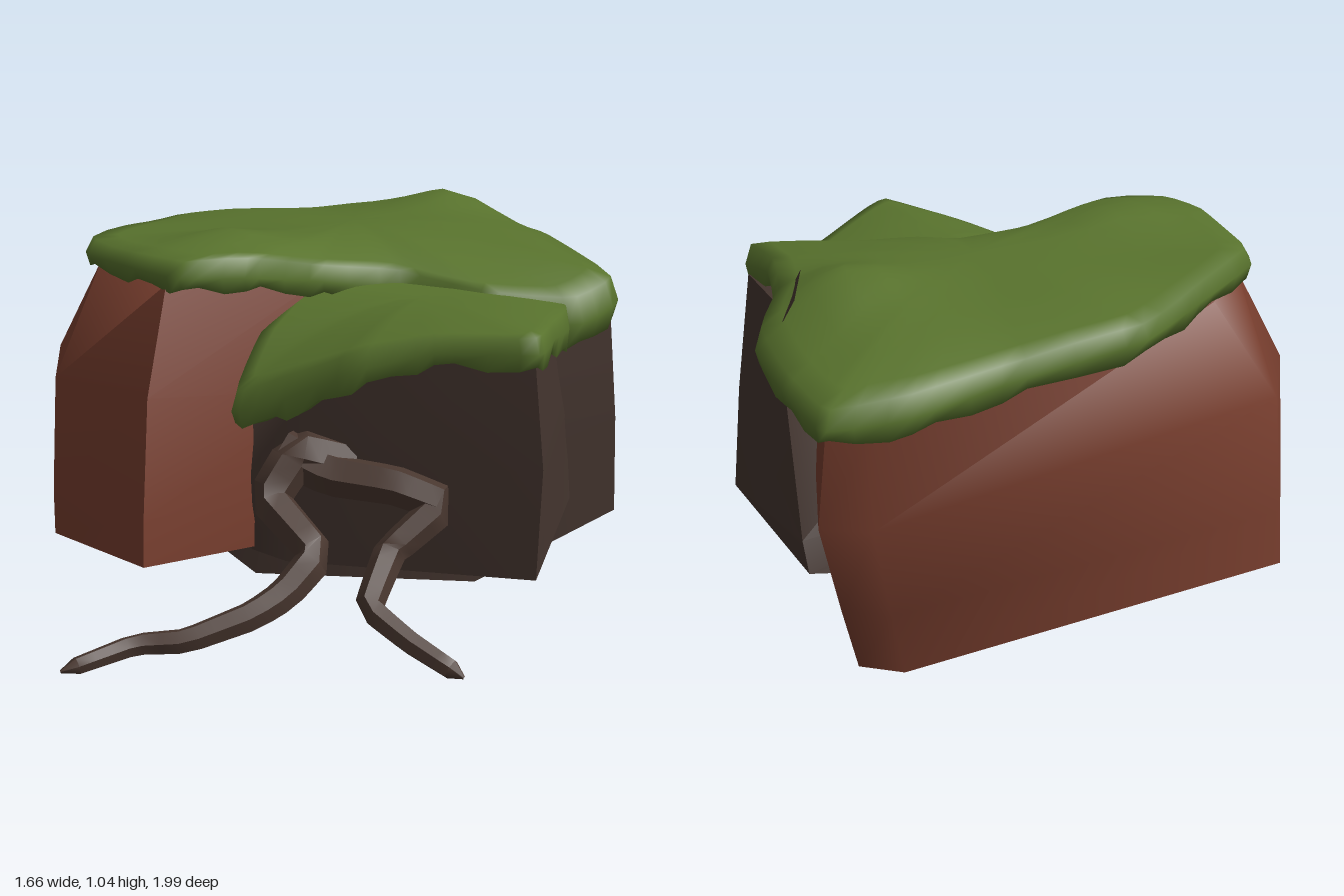
import * as THREE from 'three';
import { toCreasedNormals } from 'three/addons/utils/BufferGeometryUtils.js';

const material = (name, color) => new THREE.MeshStandardMaterial({ name, color });

// Skin a stack of equal-length rings (bottom to top) and close both ends
function loft(rings) {
  const n = rings[0].length, pos = [], idx = [];
  rings.forEach(r => r.forEach(p => pos.push(...p)));
  for (let i = 0; i < rings.length - 1; i++)
    for (let j = 0; j < n; j++) {
      const k = (j + 1) % n, a = i * n + j, b = i * n + k, c = a + n, d = b + n;
      idx.push(a, b, d, a, d, c);
    }
  [rings[0], rings[rings.length - 1]].forEach((r, end) => {
    const centre = pos.length / 3, base = end ? (rings.length - 1) * n : 0;
    for (let q = 0; q < 3; q++) pos.push(r.reduce((s, p) => s + p[q], 0) / n);
    for (let j = 0; j < n; j++) {
      const k = base + (j + 1) % n;
      if (end) idx.push(centre, base + j, k);
      else idx.push(centre, k, base + j);
    }
  });
  const geo = new THREE.BufferGeometry();
  geo.setAttribute('position', new THREE.Float32BufferAttribute(pos, 3));
  geo.setIndex(idx);
  geo.computeVertexNormals();
  return geo;
}

const rock = rings => toCreasedNormals(loft(rings), 1.2);

// Moss blanket: rim entries are [x, z, lip y, top y], clockwise from above;
// mounds are soft bumps [x, z, height]
function moss(rim, [cx, cy, cz], samples, mounds) {
  const loop = q => new THREE.CatmullRomCurve3(
    rim.slice().reverse().map(p => new THREE.Vector3(p[0], p[q], p[1])), true, 'catmullrom', 0.2);
  const low = loop(2), high = loop(3), top = [], lip = [];
  for (let i = 0; i < samples; i++) {
    top.push(high.getPoint(i / samples));
    lip.push(low.getPoint(i / samples));
  }
  const mix = (a, b, t) => a + (b - a) * t;
  const relief = (x, z) => mounds.reduce(
    (s, [mx, mz, h]) => s + h * Math.exp(-((x - mx) ** 2 + (z - mz) ** 2) / 0.025), 0);
  const under = (t, lift) => lip.map((p, i) =>
    [mix(cx, p.x, t), p.y + lift + 0.012 * Math.sin(i * 1.9), mix(cz, p.z, t)]);
  const over = t => top.map(p => {
    const x = mix(cx, p.x, t), z = mix(cz, p.z, t);
    const ripple = 0.01 * t * Math.sin(x * 9 + 1) * Math.cos(z * 8);
    return [x, mix(cy, p.y, t * t) + ripple + relief(x, z), z];
  });
  const belly = top.map((p, i) => [p.x, mix(lip[i].y, p.y, 0.5), p.z]);
  return loft([under(0.6, 0.04), under(0.93, 0.01), under(0.985, 0), belly,
    over(0.97), over(0.88), over(0.75), over(0.6), over(0.45), over(0.3), over(0.15)]);
}

// Root: a crooked tube that tapers towards its tip
function root(points, r0, r1) {
  const curve = new THREE.CatmullRomCurve3(
    points.map(p => new THREE.Vector3(...p)), false, 'catmullrom', 0.05);
  const segs = 28, sides = 6;
  const geo = new THREE.TubeGeometry(curve, segs, 1, sides);
  const pos = geo.attributes.position, v = new THREE.Vector3();
  for (let i = 0; i <= segs; i++) {
    const c = curve.getPointAt(i / segs);
    const r = i === segs ? 0.004 : r0 + (r1 - r0) * (i / segs);
    for (let j = 0; j <= sides; j++) {
      const k = i * (sides + 1) + j;
      v.fromBufferAttribute(pos, k).sub(c).multiplyScalar(r).add(c);
      pos.setXYZ(k, v.x, v.y, v.z);
    }
  }
  return toCreasedNormals(geo, 1);
}

export function createModel() {
  const group = new THREE.Group();
  const red = material('red rock', 0x783e2e);
  const dark = material('dark rock', 0x43342e);
  const green = material('moss green', 0x58722d);
  const bark = material('root bark', 0x4a3830);
  const add = (name, geo, mat) => {
    const mesh = new THREE.Mesh(geo, mat);
    mesh.name = name;
    group.add(mesh);
  };

  // Large red boulder
  add('redBoulder', rock([
    [[-0.83, 0.11, -0.07], [-0.77, 0.17, 0.28], [-0.47, 0.21, 0.63], [-0.05, 0.18, 0.29],
      [0.45, 0.1, -0.13], [0.2, 0, -0.77], [0.07, 0, -0.77]],
    [[-0.825, 0.28, -0.09], [-0.77, 0.3, 0.28], [-0.47, 0.34, 0.61], [-0.03, 0.3, 0.28],
      [0.47, 0.25, -0.15], [0.22, 0.2, -0.84], [0.08, 0.2, -0.84]],
    [[-0.8, 0.62, -0.08], [-0.76, 0.62, 0.24], [-0.46, 0.66, 0.55], [0, 0.6, 0.25],
      [0.51, 0.5, -0.22], [0.24, 0.48, -0.94], [0.1, 0.48, -0.92]],
    [[-0.62, 0.89, -0.1], [-0.64, 0.93, 0.1], [-0.42, 0.94, 0.42], [-0.05, 0.88, 0.2],
      [0.53, 0.85, -0.32], [0.21, 0.75, -0.95], [0.1, 0.76, -0.92]],
  ]), red);

  // Dark boulder leaning on the red one
  add('darkBoulder', rock([
    [[-0.2, 0.06, 0.28], [0.42, 0.06, 0.31], [0.83, 0.15, -0.05], [0.34, 0.25, -0.75], [-0.45, 0.08, -0.1]],
    [[-0.15, 0.4, 0.26], [0.48, 0.4, 0.31], [0.82, 0.45, -0.01], [0.36, 0.34, -0.74], [-0.2, 0.4, -0.2]],
    [[-0.1, 0.82, 0.2], [0.5, 0.82, 0.25], [0.79, 0.8, 0.03], [0.56, 0.87, -0.36], [0, 0.83, -0.3]],
  ]), dark);

  // Smaller dark block at the front
  add('frontBlock', rock([
    [[-0.2, 0.18, 0.4], [-0.1, 0.17, 0.46], [0.58, 0.18, 0.59], [0.69, 0.24, 0.1], [-0.1, 0.2, 0.05]],
    [[-0.21, 0.4, 0.4], [-0.08, 0.4, 0.47], [0.59, 0.5, 0.61], [0.67, 0.5, 0.12], [-0.05, 0.5, 0.08]],
    [[-0.2, 0.59, 0.38], [0, 0.72, 0.47], [0.56, 0.82, 0.6], [0.62, 0.81, 0.14], [0, 0.8, 0.1]],
  ]), dark);

  // Moss over the boulders
  add('upperMoss', moss([
    [0.2, -1, 0.74, 0.82], [0.36, -0.84, 0.76, 0.85], [0.52, -0.62, 0.78, 0.87], [0.54, -0.42, 0.82, 0.91],
    [0.63, -0.22, 0.86, 0.94], [0.81, 0.06, 0.77, 0.87], [0.7, 0.17, 0.71, 0.84], [0.45, 0.22, 0.72, 0.87],
    [0.2, 0.15, 0.8, 0.91], [-0.02, 0.25, 0.87, 0.95], [-0.2, 0.4, 0.92, 0.99], [-0.38, 0.46, 0.93, 1.0],
    [-0.52, 0.36, 0.93, 1.01], [-0.69, 0.1, 0.91, 0.98], [-0.6, -0.2, 0.88, 0.96], [-0.5, -0.46, 0.85, 0.93],
    [-0.2, -0.7, 0.79, 0.88], [0, -0.9, 0.75, 0.84],
  ], [0.05, 0.99, -0.15], 60, [[-0.27, 0.2, 0.045], [0.33, -0.47, 0.07]]), green);

  // Moss draped over the front block
  add('frontMoss', moss([
    [0.2, 0, 0.8, 0.88], [0.5, 0, 0.78, 0.86], [0.67, 0.18, 0.71, 0.83], [0.62, 0.45, 0.77, 0.86],
    [0.57, 0.65, 0.78, 0.87], [0.3, 0.58, 0.77, 0.84], [0.08, 0.55, 0.69, 0.79], [-0.1, 0.48, 0.59, 0.7],
    [-0.25, 0.42, 0.55, 0.62], [-0.19, 0.32, 0.66, 0.77], [-0.06, 0.14, 0.8, 0.89],
  ], [0.27, 0.88, 0.28], 44, []), green);

  // Bare stone showing through a gap in the moss
  const gap = new THREE.BufferGeometry();
  gap.setAttribute('position', new THREE.Float32BufferAttribute(
    [0.44, 0.91, -0.62, 0.415, 0.965, -0.59, 0.465, 0.985, -0.4, 0.5, 0.92, -0.4], 3));
  gap.setIndex([0, 1, 2, 0, 2, 3]);
  gap.computeVertexNormals();
  add('stoneGap', gap, dark);

  // Roots growing out of the front block
  add('leftRoot', root([
    [0.08, 0.46, 0.46], [-0.06, 0.5, 0.48], [-0.14, 0.38, 0.54], [0, 0.28, 0.69], [-0.08, 0.2, 0.77],
    [-0.16, 0.16, 0.82], [-0.33, 0.11, 0.88], [-0.46, 0.1, 0.885], [-0.64, 0.065, 0.99],
  ], 0.068, 0.022), bark);
  add('rightRoot', root([
    [-0.1, 0.49, 0.45], [0.03, 0.44, 0.5], [0.2, 0.43, 0.55], [0.33, 0.39, 0.58], [0.19, 0.28, 0.66],
    [0.14, 0.18, 0.8], [0.25, 0.12, 0.88], [0.39, 0.06, 0.96],
  ], 0.068, 0.026), bark);

  return group;
}
